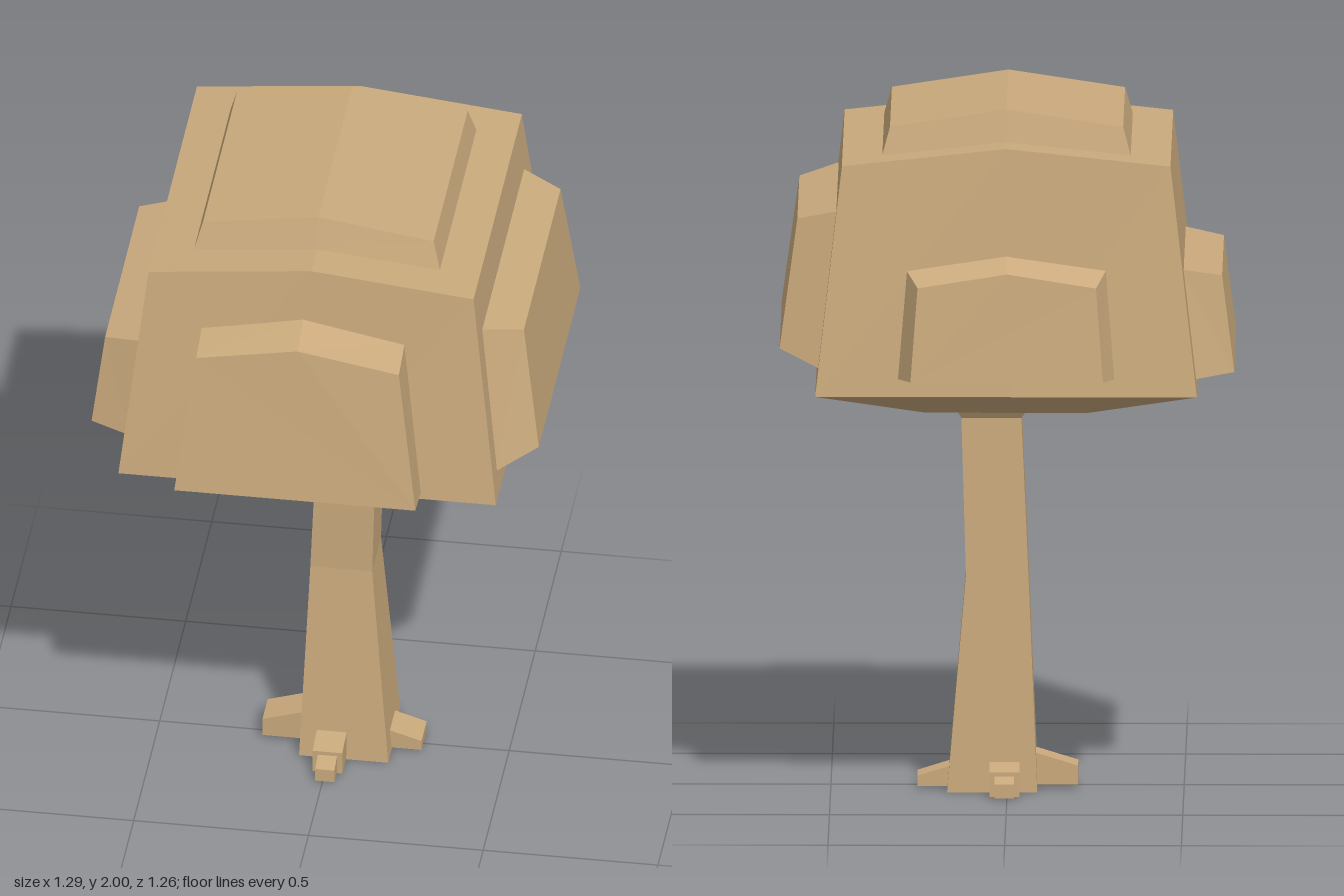
import * as THREE from 'three';

const material = new THREE.MeshStandardMaterial({ color: 0xc9a97c, flatShading: true, side: THREE.DoubleSide });

// Closed solid through rings of [x, y, z] points; winding is corrected by signed volume.
function loft(name, rings) {
  const n = rings[0].length;
  const pts = rings.flat().map(p => new THREE.Vector3(...p));
  const tris = [];
  for (let r = 0; r < rings.length - 1; r++) {
    for (let i = 0; i < n; i++) {
      const a = r * n + i, b = r * n + (i + 1) % n;
      tris.push([a, b, b + n], [a, b + n, a + n]);
    }
  }
  const last = (rings.length - 1) * n;
  for (let k = 1; k < n - 1; k++) {
    const i = (1 + k) % n, j = (2 + k) % n;
    tris.push([1, j, i], [last + 1, last + i, last + j]);
  }
  let volume = 0;
  for (const [a, b, c] of tris) volume += pts[a].dot(pts[b].clone().cross(pts[c]));
  const pos = [];
  for (const [a, b, c] of tris) {
    for (const i of volume > 0 ? [a, b, c] : [a, c, b]) pos.push(...pts[i].toArray());
  }
  const geo = new THREE.BufferGeometry();
  geo.setAttribute('position', new THREE.Float32BufferAttribute(pos, 3));
  geo.computeVertexNormals();
  const mesh = new THREE.Mesh(geo, material);
  mesh.name = name;
  return mesh;
}

// Horizontal rectangle whose middle line along z may be raised into a ridge
const ridged = (x0, x1, zBack, zFront, y, ridge = 0) => [
  [x0, y, zFront], [0, y + ridge, zFront], [x1, y, zFront],
  [x1, y, zBack], [0, y + ridge, zBack], [x0, y, zBack],
];

// Horizontal rectangle
const rect = (x0, x1, zBack, zFront, y) => [
  [x0, y, zFront], [x1, y, zFront], [x1, y, zBack], [x0, y, zBack],
];

// Gabled outline facing along z: bottom and top rows are [x0, x1, y, z]
const gable = ([a0, a1, ay, az], [b0, b1, by, bz], peak) => [
  [a0, ay, az], [a1, ay, az], [b1, by, bz], [(b0 + b1) / 2, peak, bz], [b0, by, bz],
];

// Four-sided outline facing along x: bottom and top rows are [zBack, zFront, y, x]
const side = ([a0, a1, ay, ax], [b0, b1, by, bx]) => [
  [ax, ay, a0], [ax, ay, a1], [bx, by, b1], [bx, by, b0],
];

export function createModel() {
  const tree = new THREE.Group();
  tree.name = 'tree';

  // Trunk, bent slightly and flared under the leaves
  tree.add(loft('trunk', [
    rect(-0.085, 0.17, -0.135, 0.11, 0),
    rect(-0.06, 0.117, -0.11, 0.06, 0.62),
    rect(-0.04, 0.13, -0.095, 0.07, 1.07),
    rect(-0.07, 0.155, -0.125, 0.1, 1.115),
  ]));

  // Leaf crown with a shallow ridged top
  tree.add(loft('crown', [
    ridged(-0.23, 0.23, -0.24, 0.22, 1.11),
    ridged(-0.54, 0.54, -0.555, 0.525, 1.21),
    ridged(-0.465, 0.465, -0.48, 0.45, 1.86, 0.05),
  ]));
  tree.add(loft('topLeaves', [
    ridged(-0.355, 0.355, -0.37, 0.34, 1.86, 0.05),
    ridged(-0.33, 0.33, -0.345, 0.31, 1.95, 0.05),
  ]));

  // Leaf slabs on the four sides
  tree.add(loft('frontLeaves', [
    gable([-0.365, 0.325, 1.23, 0.51], [-0.31, 0.27, 1.7, 0.46], 1.755),
    gable([-0.365, 0.325, 1.24, 0.628], [-0.31, 0.27, 1.665, 0.575], 1.717),
  ]));
  tree.add(loft('backLeaves', [
    gable([-0.31, 0.31, 1.26, -0.54], [-0.285, 0.285, 1.57, -0.505], 1.61),
    gable([-0.275, 0.27, 1.265, -0.63], [-0.255, 0.25, 1.53, -0.598], 1.57),
  ]));
  tree.add(loft('leftLeaves', [
    side([-0.475, 0.455, 1.275, 0.525], [-0.415, 0.395, 1.72, 0.475]),
    side([-0.415, 0.385, 1.325, 0.642], [-0.37, 0.335, 1.69, 0.592]),
  ]));
  tree.add(loft('rightLeaves', [
    side([-0.405, 0.37, 1.235, -0.53], [-0.37, 0.345, 1.545, -0.495]),
    side([-0.365, 0.335, 1.25, -0.645], [-0.345, 0.31, 1.525, -0.61]),
  ]));

  // Tapered roots left and right
  tree.add(loft('leftRoot', [
    side([-0.06, 0.04, 0.005, 0.15], [-0.06, 0.04, 0.068, 0.15]),
    side([-0.06, 0.04, 0.005, 0.255], [-0.06, 0.04, 0.035, 0.255]),
  ]));
  tree.add(loft('rightRoot', [
    side([-0.06, 0.04, 0.01, -0.07], [-0.06, 0.04, 0.105, -0.07]),
    side([-0.06, 0.04, 0.01, -0.2], [-0.06, 0.04, 0.065, -0.2]),
  ]));

  // Stepped roots front and back: a wide block, then a narrow tip
  const root = (name, x0, x1, y, z0, h0, z1, h1) => tree.add(loft(name, [
    [[x0, y, z0], [x1, y, z0], [x1, h0, z0], [x0, h0, z0]],
    [[x0, y, z1], [x1, y, z1], [x1, h1, z1], [x0, h1, z1]],
  ]));
  for (const [name, base, step, tip] of [['front', 0.09, 0.185, 0.235], ['back', -0.115, -0.215, -0.26]]) {
    root(name + 'Root', -0.035, 0.05, 0.002, base, 0.09, step, 0.072);
    root(name + 'RootTip', -0.02, 0.035, 0.005, step, 0.06, tip, 0.045);
  }

  return tree;
}
